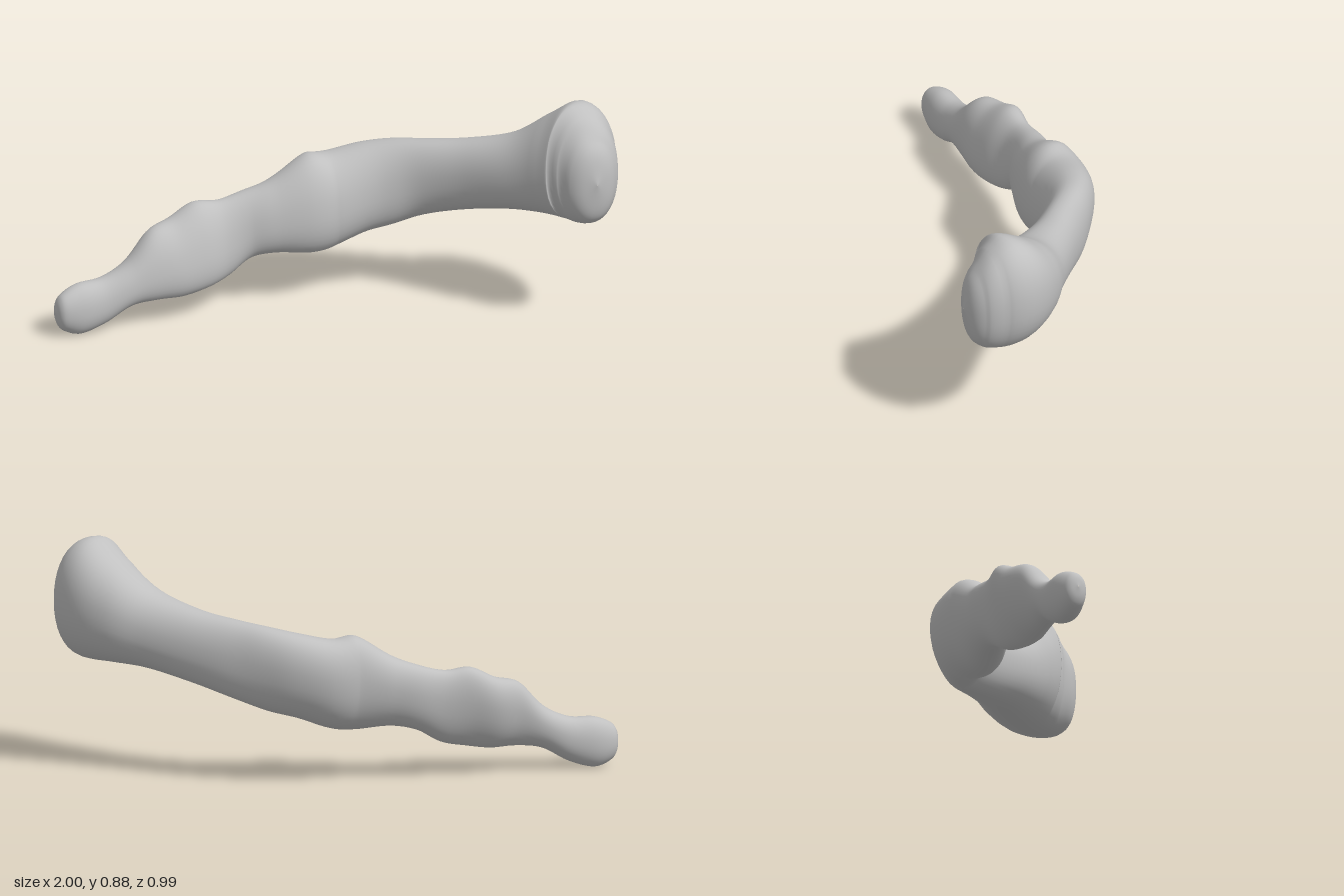
import * as THREE from 'three';

// Cross-sections along the bone: [x, z, bottom y, top y, half width, lean]
const SECTIONS = [
  [-1.0, -0.43, 0.098, 0.102, 0.001, 0],
  [-0.99, -0.43, 0.05, 0.145, 0.032, 0],
  [-0.965, -0.43, 0.02, 0.172, 0.048, 0],
  [-0.9, -0.43, 0.0, 0.197, 0.06, 0.05],
  [-0.8, -0.422, 0.03, 0.205, 0.06, 0.1],
  [-0.7, -0.41, 0.085, 0.255, 0.063, 0.15],
  [-0.6, -0.403, 0.097, 0.355, 0.069, 0.2],
  [-0.5, -0.405, 0.095, 0.385, 0.082, 0.25],
  [-0.4, -0.402, 0.11, 0.432, 0.076, 0.25],
  [-0.3, -0.402, 0.135, 0.425, 0.064, 0.2],
  [-0.2, -0.395, 0.19, 0.45, 0.072, 0.15],
  [-0.1, -0.365, 0.208, 0.49, 0.086, 0.15],
  [0.03, -0.335, 0.197, 0.57, 0.106, 0.15],
  [0.13, -0.332, 0.21, 0.565, 0.117, 0.15],
  [0.25, -0.3, 0.252, 0.59, 0.108, 0.15],
  [0.35, -0.247, 0.278, 0.61, 0.095, 0.1],
  [0.45, -0.17, 0.32, 0.625, 0.087, 0],
  [0.565, -0.05, 0.365, 0.65, 0.096, 0],
  [0.685, 0.095, 0.402, 0.705, 0.125, 0],
  [0.78, 0.205, 0.41, 0.805, 0.155, 0],
  [0.84, 0.3, 0.408, 0.88, 0.163, 0],
  [0.85, 0.38, 0.412, 0.845, 0.132, 0],
  [0.845, 0.44, 0.435, 0.775, 0.1, 0],
  [0.842, 0.475, 0.485, 0.715, 0.062, 0],
  [0.84, 0.495, 0.609, 0.611, 0.001, 0],
];

// Skin a closed tube of rounded cross-sections
function loft(sections, steps, sides) {
  const path = new THREE.CatmullRomCurve3(
    sections.map(([x, z, b, t]) => new THREE.Vector3(x, (b + t) / 2, z)), false, 'catmullrom');
  const sizes = new THREE.CatmullRomCurve3(
    sections.map(([, , b, t, w, lean]) => new THREE.Vector3(w, (t - b) / 2, lean)), false, 'catmullrom');
  const positions = [], indices = [];
  const round = (v) => Math.sign(v) * Math.pow(Math.abs(v), 0.92);
  for (let i = 0; i <= steps; i++) {
    const u = i / steps;
    const c = path.getPoint(u), s = sizes.getPoint(u);
    const t = path.getTangent(u).setY(0).normalize();
    const w = Math.max(s.x, 0.001), h = Math.max(s.y, 0.001);
    for (let j = 0; j < sides; j++) {
      const a = (j / sides) * Math.PI * 2;
      const up = round(Math.sin(a)) * h;
      const side = round(Math.cos(a)) * w - up * s.z;
      positions.push(c.x - t.z * side, c.y + up, c.z + t.x * side);
      if (i === steps) continue;
      const k = i * sides + j, n = i * sides + (j + 1) % sides;
      indices.push(k, k + sides, n, n, k + sides, n + sides);
    }
  }
  const geometry = new THREE.BufferGeometry();
  geometry.setAttribute('position', new THREE.Float32BufferAttribute(positions, 3));
  geometry.setIndex(indices);
  geometry.computeVertexNormals();
  return geometry;
}

export function createModel() {
  const group = new THREE.Group();
  group.name = 'curvedBone';
  const grey = new THREE.MeshStandardMaterial({ color: 0xc0c0c0 });
  grey.name = 'plain grey';

  // Single continuous bone: knob, lumpy shaft and flared head
  const bone = new THREE.Mesh(loft(SECTIONS, 144, 40), grey);
  bone.name = 'bone';
  group.add(bone);
  return group;
}
